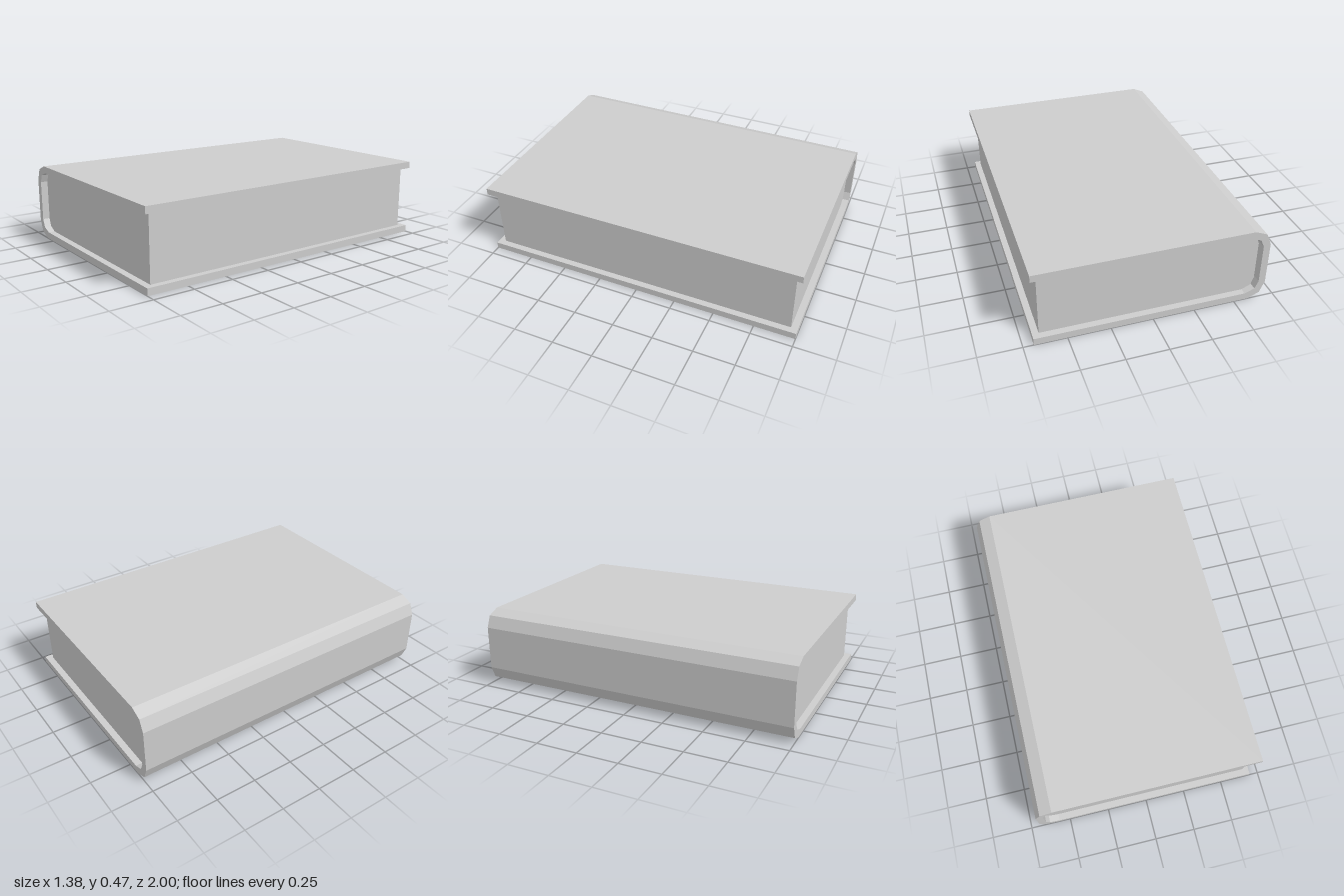
import * as THREE from 'three';

const H = 0.475; // overall height

// Mirror the upper half of a profile (listed right to left) about mid height.
const mirrored = (pts) => [...pts, ...pts.map(([x, y]) => [x, H - y]).reverse()];

// Extrude a closed outline along z, centred on z = 0.
function extrude(name, outline, depth, material) {
  const shape = new THREE.Shape(outline.map(([x, y]) => new THREE.Vector2(x, y)));
  const geometry = new THREE.ExtrudeGeometry(shape, { depth, bevelEnabled: false });
  geometry.translate(0, 0, -depth / 2);
  const mesh = new THREE.Mesh(geometry, material);
  mesh.name = name;
  return mesh;
}

export function createModel() {
  const group = new THREE.Group();
  group.name = 'book';

  const grey = new THREE.MeshStandardMaterial({ color: 0xcccccc });
  grey.name = 'light grey';

  // Cover: two boards joined by a faceted spine, of even thickness
  const outer = mirrored([[0.69, H], [-0.587, H], [-0.66, 0.444], [-0.69, 0.371]]);
  const inner = mirrored([[0.69, 0.433], [-0.567, 0.433], [-0.627, 0.41], [-0.648, 0.361]]);
  group.add(extrude('cover', [...outer, ...inner.reverse()], 2, grey));

  // Page block: set in from three edges, with a small gap at the spine
  const pages = mirrored([[0.652, 0.433], [-0.567, 0.433], [-0.62, 0.409], [-0.638, 0.36]]);
  group.add(extrude('pages', pages, 1.92, grey));

  return group;
}
